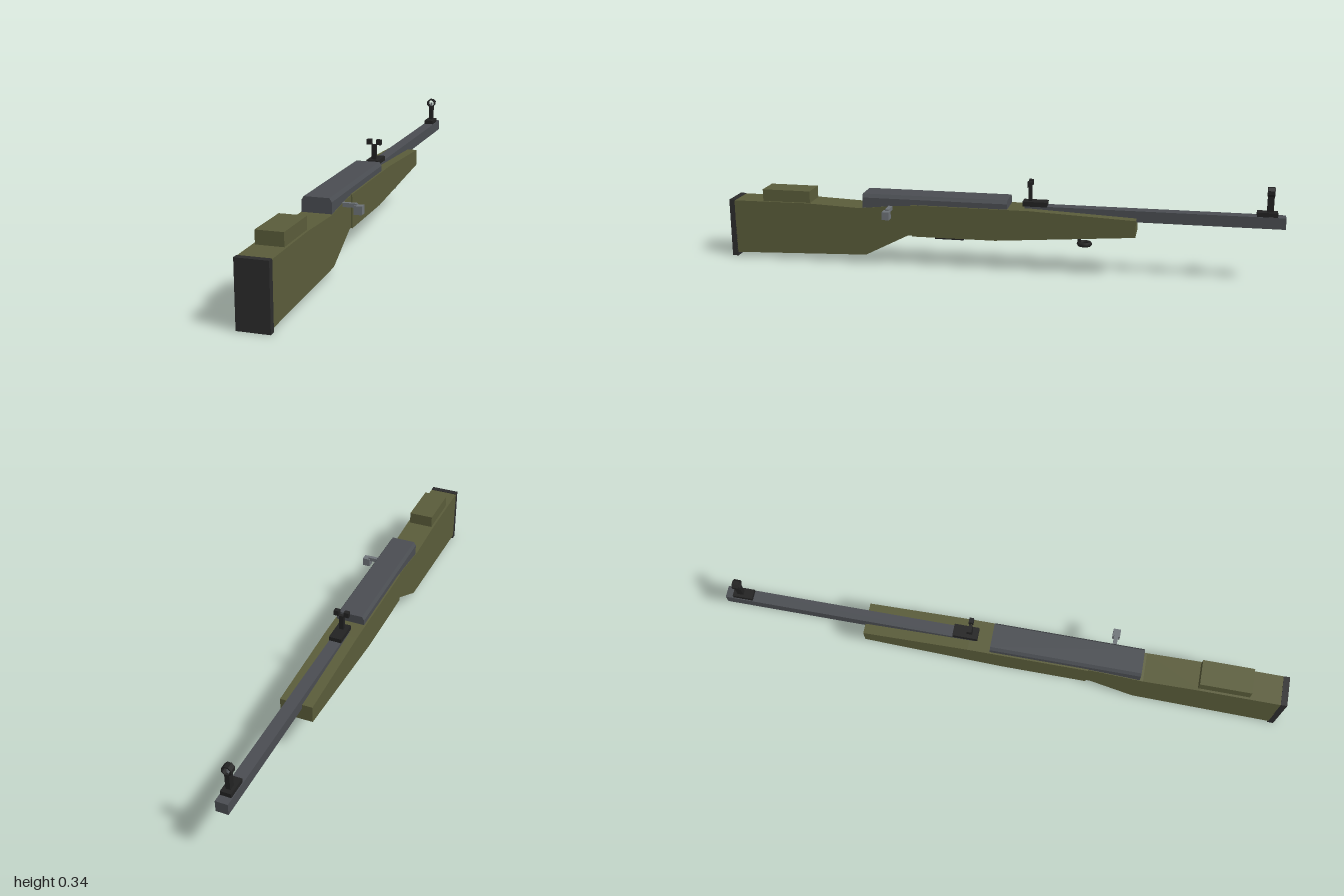
import * as THREE from 'three';

const CX = -0.032; // centre line of the rifle

const mat = (name, color) => {
  const m = new THREE.MeshStandardMaterial({ color });
  m.name = name;
  return m;
};

export function createModel() {
  const root = new THREE.Group();
  root.name = 'rifle';
  const olive = mat('olive stock', 0x5a5c3a);
  const steel = mat('gunmetal', 0x4a4d52);
  const rubber = mat('black rubber', 0x2c2c2c);
  const sight = mat('sight black', 0x222222);
  const bolt = mat('bolt grey', 0x6e7378);

  const add = (name, geo, material, parent = root) => {
    const m = new THREE.Mesh(geo, material);
    m.name = name;
    parent.add(m);
    return m;
  };
  // Box given by its minimum and maximum on each axis
  const box = (name, x, y, z, material, parent) => {
    const g = new THREE.BoxGeometry(x[1] - x[0], y[1] - y[0], z[1] - z[0]);
    g.translate((x[0] + x[1]) / 2, (y[0] + y[1]) / 2, (z[0] + z[1]) / 2);
    return add(name, g, material, parent);
  };
  const mid = (w) => [CX - w / 2, CX + w / 2];
  const shapeOf = (pts) => new THREE.Shape(pts.map((p) => new THREE.Vector2(p[0], p[1])));
  // Side profile of [z, y] points, extruded across the width
  const slab = (name, pts, width, material) => {
    const g = new THREE.ExtrudeGeometry(shapeOf(pts), { depth: width, bevelEnabled: false });
    g.translate(0, 0, -width / 2).rotateY(-Math.PI / 2).translate(CX, 0, 0);
    return add(name, g, material);
  };

  // Stock: narrower butt, slightly wider fore-end
  slab('buttStock', [
    [0.98, 0.014], [0.98, 0.213], [0.7, 0.215], [0.5, 0.207], [0.36, 0.222], [0.29, 0.226],
    [0.29, 0.114], [0.32, 0.114], [0.48, 0.032],
  ], 0.106, olive);
  slab('foreStock', [
    [0.305, 0.112], [0.305, 0.228], [-0.12, 0.228], [-0.495, 0.211], [-0.495, 0.151], [0, 0.113],
  ], 0.114, olive);
  box('buttPad', mid(0.106), [0, 0.215], [0.978, 1], rubber);
  box('cheekRest', mid(0.09), [0.212, 0.258], [0.69, 0.87], olive);

  // Receiver with chamfered top edges
  const receiver = new THREE.ExtrudeGeometry(shapeOf([
    [-0.051, 0.195], [0.051, 0.195], [0.051, 0.247], [0.043, 0.26], [-0.043, 0.26], [-0.051, 0.247],
  ]), { depth: 0.53, bevelEnabled: false });
  receiver.translate(CX, 0, -0.042);
  add('receiver', receiver, steel);

  // Square barrel
  box('barrel', mid(0.042), [0.197, 0.237], [-1, -0.1], steel);

  // Bolt handle on one side
  const handle = new THREE.Group();
  handle.name = 'boltHandle';
  root.add(handle);
  box('boltArm', [0.01, 0.068], [0.207, 0.221], [0.376, 0.39], bolt, handle);
  box('boltKnob', [0.06, 0.088], [0.186, 0.215], [0.371, 0.397], bolt, handle);

  // Rear sight: base, leaf and two side blocks
  const rear = new THREE.Group();
  rear.name = 'rearSight';
  root.add(rear);
  box('rearSightBase', mid(0.044), [0.235, 0.252], [-0.18, -0.092], sight, rear);
  box('rearSightPost', mid(0.016), [0.25, 0.307], [-0.124, -0.112], sight, rear);
  for (const s of [-1, 1]) {
    const c = CX + s * 0.018;
    box('rearSightBlock', [c - 0.009, c + 0.009], [0.306, 0.325], [-0.126, -0.11], sight, rear);
  }

  // Front sight: base, post, octagonal hood and blade
  const front = new THREE.Group();
  front.name = 'frontSight';
  root.add(front);
  box('frontSightBase', mid(0.036), [0.235, 0.252], [-0.972, -0.902], sight, front);
  box('frontSightPost', mid(0.016), [0.25, 0.309], [-0.957, -0.935], sight, front);
  const ring = (r) => Array.from({ length: 8 }, (_, i) => {
    const a = (i + 0.5) * Math.PI / 4;
    return new THREE.Vector2(r * Math.cos(a), r * Math.sin(a));
  });
  const hood = new THREE.Shape(ring(0.0175));
  hood.holes.push(new THREE.Path(ring(0.0135).reverse()));
  const hoodGeo = new THREE.ExtrudeGeometry(hood, { depth: 0.024, bevelEnabled: false });
  hoodGeo.translate(CX, 0.322, -0.958);
  add('frontSightHood', hoodGeo, sight, front);
  box('frontSightBlade', mid(0.006), [0.305, 0.324], [-0.95, -0.942], bolt, front);

  // Magazine floor plate and sling loop underneath
  box('magazinePlate', mid(0.062), [0.1, 0.125], [0.12, 0.225], sight);
  const loop = new THREE.TorusGeometry(0.02, 0.008, 6, 12);
  loop.rotateX(Math.PI / 2).translate(CX, 0.103, -0.313);
  add('slingLoop', loop, sight);
  box('slingStud', mid(0.012), [0.1, 0.15], [-0.3, -0.288], sight);

  return root;
}
